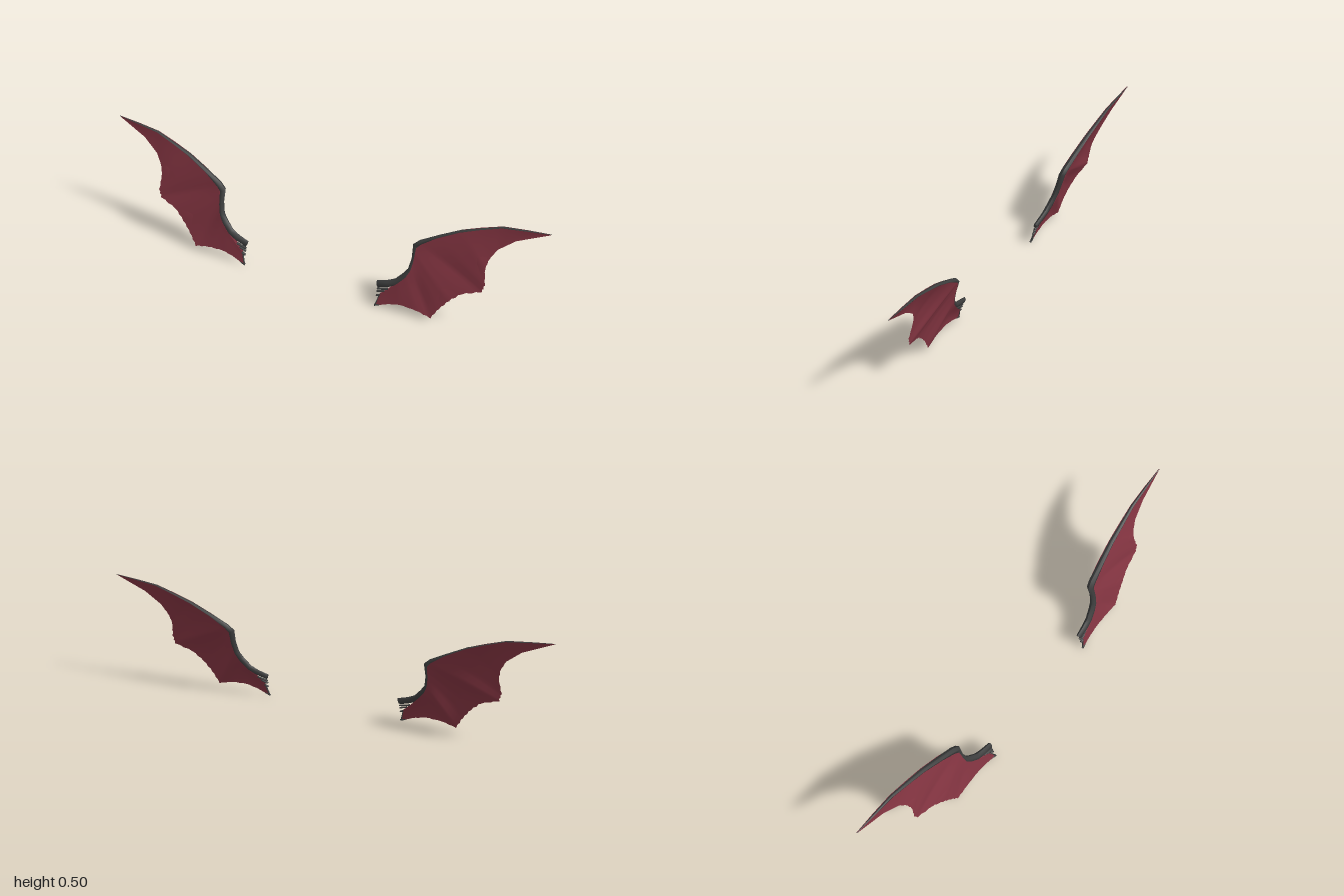
import * as THREE from 'three';

const membraneMat = new THREE.MeshStandardMaterial({ color: 0x853542, side: THREE.DoubleSide });
membraneMat.name = 'dark red membrane';
const boneMat = new THREE.MeshStandardMaterial({ color: 0x3d3e3e, side: THREE.DoubleSide });
boneMat.name = 'charcoal bone';

// The wings lean back: depth of the wing plane at height y
const planeZ = (y) => 0.066 - 0.26 * y;

// Leading point, trailing point, fold between the finger ridges, half thickness at the bone
const ribs = [
  [0.330, 0.072, 0.313, 0.013, 0, 0.004],
  [0.365, 0.104, 0.365, 0.035, 0.003, 0.007],
  [0.408, 0.150, 0.425, 0.050, 0.007, 0.012],
  [0.434, 0.180, 0.500, 0.046, 0.005, 0.013],
  [0.451, 0.215, 0.564, 0.030, -0.005, 0.014],
  [0.458, 0.255, 0.596, 0.083, 0.006, 0.014],
  [0.460, 0.290, 0.634, 0.131, 0.011, 0.015],
  [0.462, 0.318, 0.682, 0.174, 0.006, 0.015],
  [0.480, 0.338, 0.761, 0.203, -0.006, 0.015],
  [0.543, 0.382, 0.771, 0.238, 0.005, 0.013],
  [0.634, 0.430, 0.761, 0.307, 0.011, 0.011],
  [0.710, 0.460, 0.770, 0.350, 0.006, 0.009],
  [0.800, 0.491, 0.797, 0.398, 0.001, 0.007],
  [0.900, 0.504, 0.864, 0.452, 0, 0.005],
  [0.998, 0.515, 0.994, 0.512, 0, 0.001],
];

// Arm and leading finger: x, y, half width, half depth
const armPath = [
  [0.312, 0.111, 0.015, 0.010], [0.36, 0.126, 0.015, 0.012], [0.395, 0.144, 0.014, 0.013],
  [0.427, 0.18, 0.013, 0.014], [0.446, 0.21, 0.011, 0.014], [0.455, 0.26, 0.011, 0.014],
  [0.455, 0.318, 0.014, 0.015], [0.475, 0.338, 0.011, 0.015], [0.545, 0.381, 0.006, 0.013],
  [0.634, 0.429, 0.004, 0.011], [0.80, 0.490, 0.003, 0.007], [0.90, 0.503, 0.002, 0.005],
  [0.999, 0.515, 0.001, 0.001],
];

// Skin a list of equally long rows of points; side -1 mirrors and flips the faces
function skin(rows, side) {
  const n = rows[0].length, pos = [], index = [];
  rows.forEach((row) => row.forEach(([x, y, z]) => pos.push(x * side, y, z)));
  for (let i = 0; i < rows.length - 1; i++) {
    for (let j = 0; j < n - 1; j++) {
      const a = i * n + j, b = a + 1, c = a + n, d = c + 1;
      if (side > 0) index.push(a, b, c, b, d, c);
      else index.push(a, c, b, b, c, d);
    }
  }
  const g = new THREE.BufferGeometry();
  g.setAttribute('position', new THREE.Float32BufferAttribute(pos, 3));
  g.setIndex(index);
  g.computeVertexNormals();
  return g;
}

// Sheet over the front (face 1) or back (face -1) of the bone, with a ragged trailing edge
function membrane(side, face) {
  const rows = [], sub = 4, across = 8;
  const fold = face > 0 ? 0.6 : 1;
  for (let i = 0; i <= (ribs.length - 1) * sub; i++) {
    const k = Math.min(Math.floor(i / sub), ribs.length - 2), t = i / sub - k;
    const r = ribs[k].map((v, m) => THREE.MathUtils.lerp(v, ribs[k + 1][m], t));
    const fray = i % 2 && k > 0 && k < 12 ? 0.98 : 1;
    const row = [];
    for (let j = 0; j <= across; j++) {
      const v = (j / across) * (j === across ? fray : 1);
      const y = r[1] + (r[3] - r[1]) * v;
      const z = planeZ(y) + fold * r[4] * Math.sin(Math.PI * 0.8 * v) + face * r[5] * (1 - v) ** 2;
      row.push([r[0] + (r[2] - r[0]) * v, y, z + face * 0.001]);
    }
    rows.push(row);
  }
  // Turn the back sheet round so that it faces backwards
  return skin(face > 0 ? rows : rows.reverse(), side);
}

// Tapered bone with a six-sided section lying in the wing plane
function bone(path, side) {
  const rows = path.map(([x, y, w, d], i) => {
    const p = path[Math.max(i - 1, 0)], q = path[Math.min(i + 1, path.length - 1)];
    const len = Math.hypot(q[0] - p[0], q[1] - p[1]);
    const nx = -(q[1] - p[1]) / len, ny = (q[0] - p[0]) / len;
    const row = [];
    for (let j = 0; j <= 6; j++) {
      const a = -(j / 6) * Math.PI * 2, c = Math.cos(a) * w;
      row.push([x + nx * c, y + ny * c, planeZ(y + ny * c) + Math.sin(a) * d]);
    }
    return row;
  });
  // Close both ends
  const cap = ([x, y]) => Array.from({ length: 7 }, () => [x, y, planeZ(y)]);
  return skin([cap(path[0]), ...rows, cap(path[path.length - 1])], side);
}

function wing(side) {
  const group = new THREE.Group();
  group.name = side > 0 ? 'leftWing' : 'rightWing';
  const add = (name, geometry, material) => {
    const mesh = new THREE.Mesh(geometry, material);
    mesh.name = name;
    group.add(mesh);
  };
  add('membraneFront', membrane(side, 1), membraneMat);
  add('membraneBack', membrane(side, -1), membraneMat);
  add('armBone', bone(armPath, side), boneMat);
  // Ragged strands where the wing was attached
  [[0.090, 0.360, 0.101], [0.078, 0.345, 0.088], [0.060, 0.332, 0.066]].forEach(([y, x2, y2], i) =>
    add('rootStrand' + (i + 1), bone([[0.314, y, 0.004, 0.006], [x2, y2, 0.004, 0.006]], side), boneMat));
  // Dark rim and spur at the lower root corner
  add('rootRim', bone([[0.314, 0.014, 0.003, 0.004], [0.329, 0.070, 0.002, 0.005]], side), boneMat);
  add('rootSpur', bone([[0.312, 0.016, 0.005, 0.005], [0.335, 0.023, 0.002, 0.003]], side), boneMat);
  return group;
}

export function createModel() {
  const model = new THREE.Group();
  model.name = 'wingPair';
  model.add(wing(1), wing(-1));
  return model;
}
